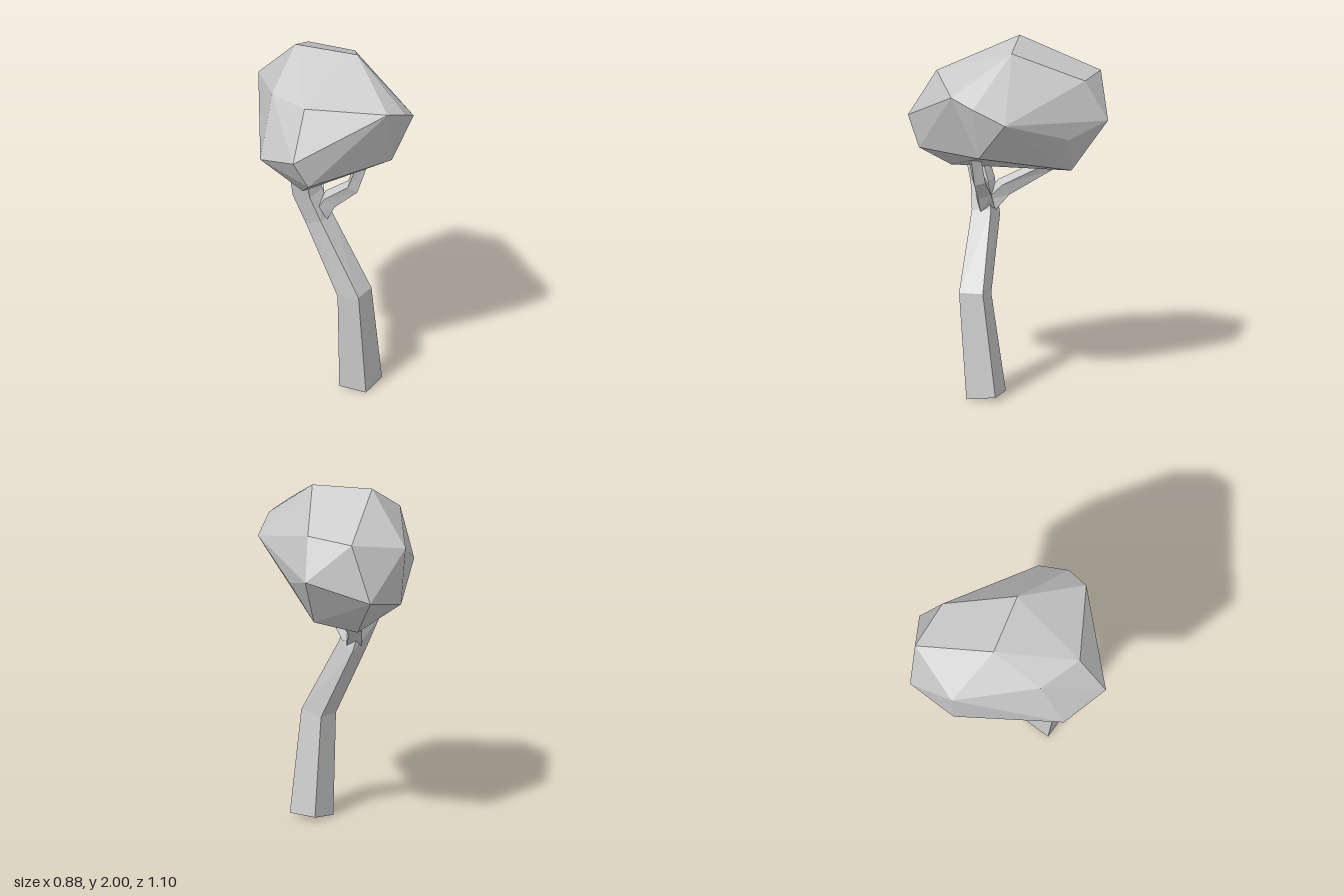
import * as THREE from 'three';
import { ConvexGeometry } from 'three/addons/geometries/ConvexGeometry.js';

const v = (p) => new THREE.Vector3(...p);
const material = new THREE.MeshStandardMaterial({ color: 0xcccccc, flatShading: true });

// Skin a list of four-cornered rings (bottom to top, corners anticlockwise from above) and cap both ends
function loft(rings) {
  const out = [];
  const quad = (a, b, c, d) => [a, b, c, a, c, d].forEach((p) => out.push(...p));
  for (let i = 0; i < rings.length - 1; i++) {
    for (let k = 0; k < 4; k++) {
      const n = (k + 1) % 4;
      quad(rings[i][k], rings[i][n], rings[i + 1][n], rings[i + 1][k]);
    }
  }
  const first = rings[0], last = rings[rings.length - 1];
  quad(first[3], first[2], first[1], first[0]);
  quad(last[0], last[1], last[2], last[3]);
  const geometry = new THREE.BufferGeometry();
  geometry.setAttribute('position', new THREE.Float32BufferAttribute(out, 3));
  geometry.computeVertexNormals();
  return geometry;
}

// Square-section rings along a path, given as points with a radius: [x, y, z, r]
function limbRings(path) {
  const pts = path.map((p) => v(p.slice(0, 3)));
  return pts.map((p, i) => {
    const dir = pts[Math.min(i + 1, pts.length - 1)].clone().sub(pts[Math.max(i - 1, 0)]).normalize();
    const side = new THREE.Vector3(0, 0, 1).cross(dir).normalize();
    const other = dir.clone().cross(side);
    return [0, 1, 2, 3].map((k) => {
      const a = (k + 0.5) * Math.PI / 2;
      return p.clone()
        .addScaledVector(side, Math.cos(a) * path[i][3])
        .addScaledVector(other, Math.sin(a) * path[i][3]).toArray();
    });
  });
}

export function createModel() {
  const tree = new THREE.Group();
  tree.name = 'tree';
  const add = (name, geometry) => {
    const mesh = new THREE.Mesh(geometry, material);
    mesh.name = name;
    tree.add(mesh);
  };

  // Bent trunk, continuing into the right-hand limb; corners: front, left, back, right
  add('trunk', loft([
    [[0.155, 0, 0.33], [0.26, 0.025, 0.19], [0.12, 0.025, 0.09], [0.015, 0, 0.23]],
    [[0.11, 0.61, 0.36], [0.195, 0.615, 0.245], [0.085, 0.59, 0.165], [0, 0.585, 0.28]],
    [[-0.09, 1.035, 0.23], [-0.015, 1.045, 0.14], [-0.09, 1.0, 0.065], [-0.165, 0.99, 0.155]],
    [[-0.15, 1.18, 0.22], [-0.07, 1.2, 0.14], [-0.15, 1.2, 0.08], [-0.24, 1.17, 0.15]],
    [[-0.19, 1.38, 0.25], [-0.14, 1.4, 0.18], [-0.2, 1.4, 0.13], [-0.27, 1.38, 0.19]],
  ]));

  // Limbs leaving the fork
  add('leftLimb', loft(limbRings([
    [-0.08, 1.06, 0.15, 0.06], [-0.03, 1.15, 0.18, 0.055],
    [0.09, 1.25, 0.24, 0.045], [0.14, 1.42, 0.28, 0.04],
  ])));
  add('backLimb', loft(limbRings([
    [-0.1, 1.06, 0.13, 0.06], [-0.1, 1.15, 0.04, 0.055], [-0.05, 1.28, -0.21, 0.04],
  ])));

  // Faceted crown
  add('crown', new ConvexGeometry([
    // top
    [-0.2, 2, -0.08], [0.135, 1.985, 0.06],
    // shoulder
    [-0.2, 1.83, 0.405], [0.265, 1.79, 0.45], [0.375, 1.74, 0.355], [-0.36, 1.825, 0.18],
    [-0.385, 1.72, -0.32], [-0.08, 1.795, -0.52], [0.165, 1.805, -0.36],
    // widest band
    [0.44, 1.65, 0.185], [-0.28, 1.56, 0.55], [-0.44, 1.48, 0.31],
    [-0.185, 1.46, -0.55], [0.18, 1.57, -0.49], [0.265, 1.495, -0.24],
    // underside
    [0.305, 1.435, 0.3], [-0.19, 1.39, 0.51], [-0.2, 1.275, 0.32],
    [-0.36, 1.39, -0.31], [-0.115, 1.225, -0.31], [0.13, 1.28, -0.29],
  ].map(v)));

  return tree;
}
